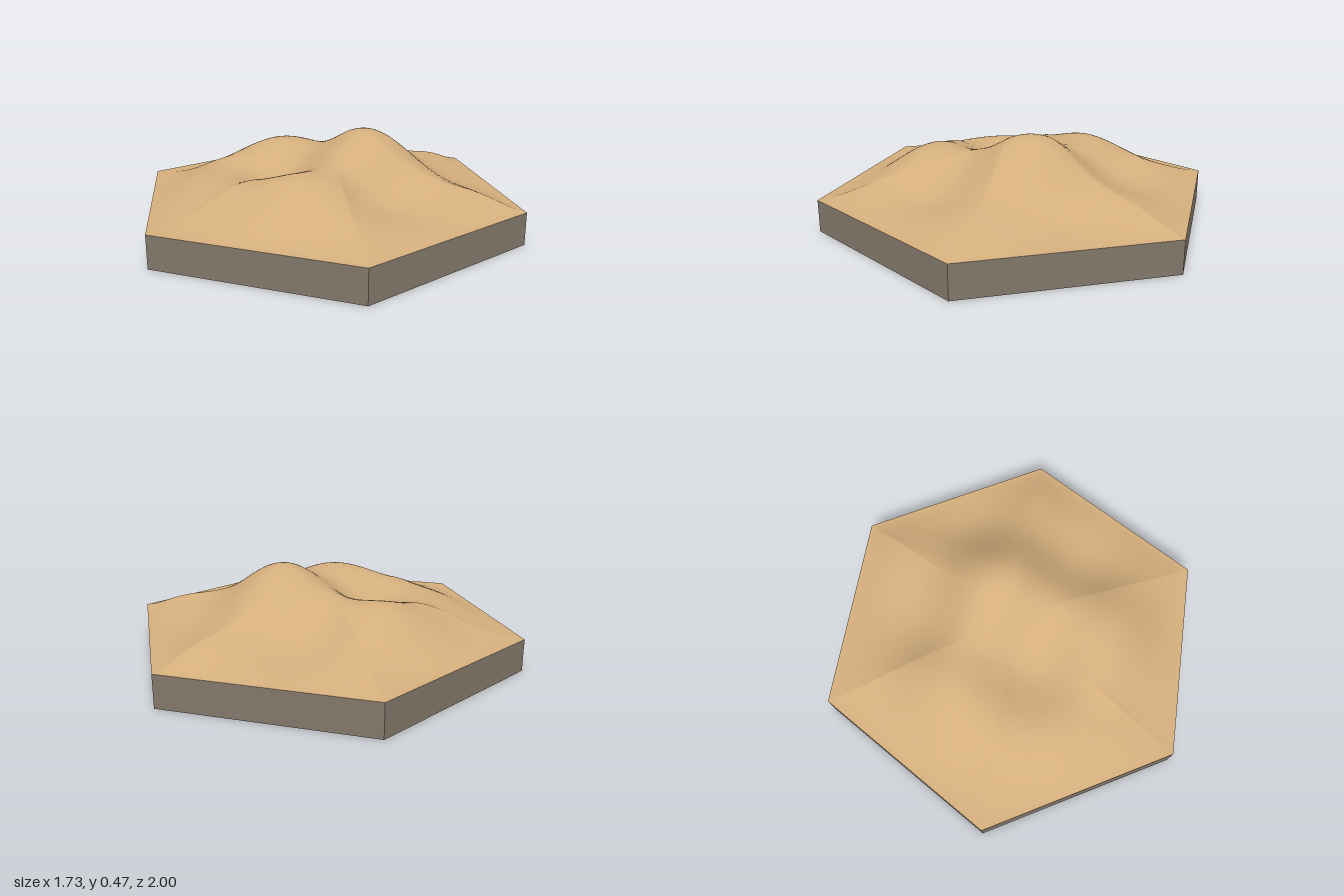
import * as THREE from 'three';

const BASE_HEIGHT = 0.16;
const RINGS = 36;

// Rolling dunes that fade to nothing at the hexagonal rim
function duneHeight(x, z) {
  const ax = Math.abs(x), az = Math.abs(z);
  const apothem = Math.sqrt(3) / 2;
  const d = Math.min(1, Math.max(ax, ax / 2 + az * apothem) / apothem);
  const falloff = Math.pow(1 - d * d, 1.5);
  return BASE_HEIGHT + falloff * (0.217 + 0.132 * Math.sin(6 * x) * Math.cos(6 * z));
}

function corner(k) {
  const a = (k * Math.PI) / 3;
  return new THREE.Vector3(Math.sin(a), 0, Math.cos(a));
}

// Six triangular sectors, each subdivided into rows of small facets
function duneGeometry() {
  const positions = [];
  for (let k = 0; k < 6; k++) {
    const a = corner(k), b = corner(k + 1);
    const add = (i, j) => {
      const x = (a.x * (i - j) + b.x * j) / RINGS;
      const z = (a.z * (i - j) + b.z * j) / RINGS;
      positions.push(x, duneHeight(x, z), z);
    };
    for (let i = 0; i < RINGS; i++) {
      for (let j = 0; j <= i; j++) {
        add(i, j); add(i + 1, j); add(i + 1, j + 1);
        if (j < i) { add(i, j); add(i + 1, j + 1); add(i, j + 1); }
      }
    }
  }
  const geometry = new THREE.BufferGeometry();
  geometry.setAttribute('position', new THREE.Float32BufferAttribute(positions, 3));
  geometry.computeVertexNormals(); // unshared corners keep the facets flat
  return geometry;
}

export function createModel() {
  const group = new THREE.Group();
  group.name = 'desertTile';

  const sand = new THREE.MeshStandardMaterial({ color: 0xd4ae7c });
  sand.name = 'sand';
  const stone = new THREE.MeshStandardMaterial({ color: 0x82776a, flatShading: true });
  stone.name = 'stone';

  // Hexagonal slab with corners on the z axis
  const base = new THREE.Mesh(new THREE.CylinderGeometry(1, 1, BASE_HEIGHT, 6), stone);
  base.name = 'base';
  base.position.y = BASE_HEIGHT / 2;

  // Sand surface on top of the slab
  const dunes = new THREE.Mesh(duneGeometry(), sand);
  dunes.name = 'dunes';

  group.add(base, dunes);
  return group;
}
